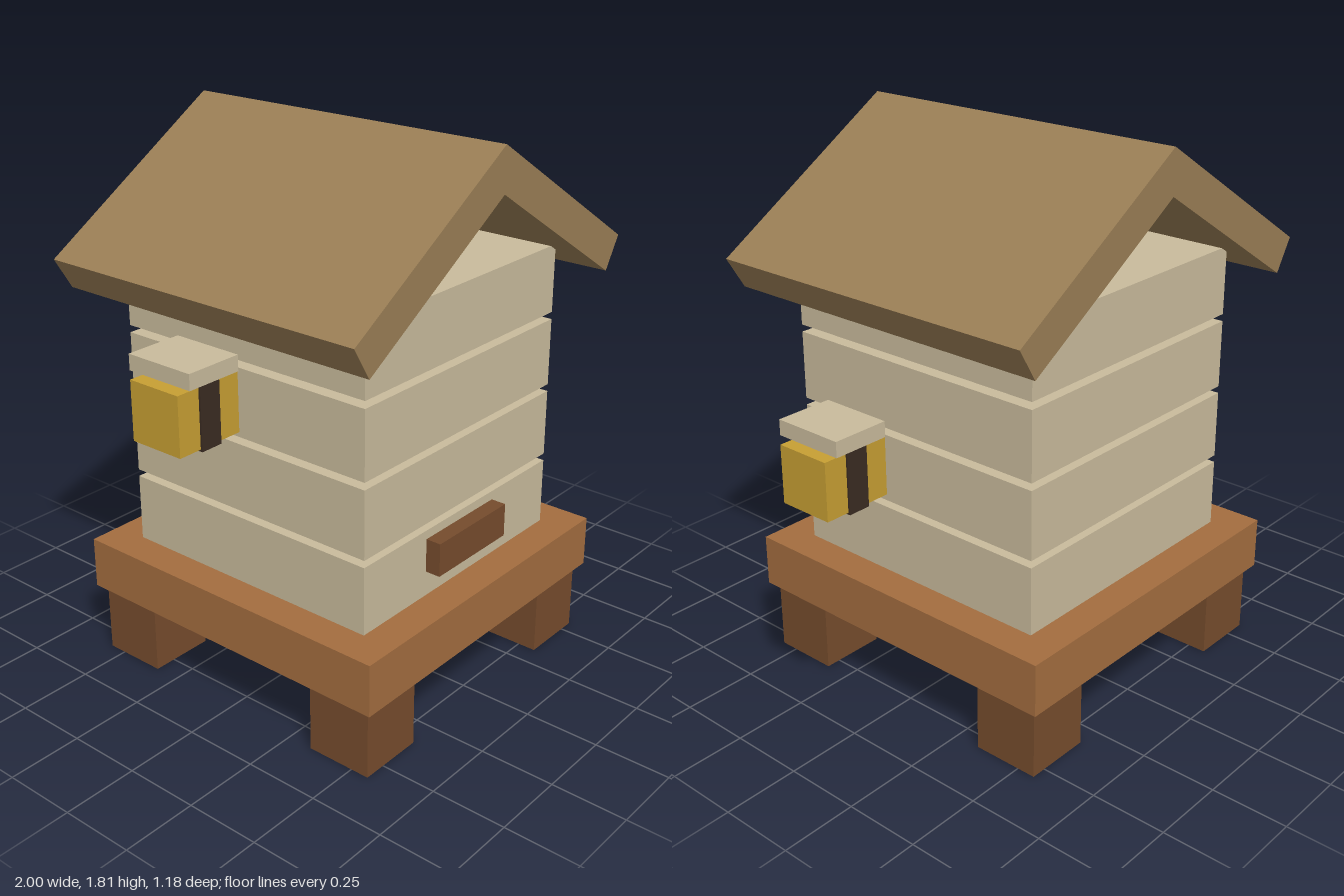
import * as THREE from 'three';

const mat = (name, color) => {
  const m = new THREE.MeshStandardMaterial({ color });
  m.name = name;
  return m;
};

export function createModel() {
  const cream = mat('cream', 0xc9bb9c);
  const wood = mat('wood', 0xa36d3f);
  const darkWood = mat('dark wood', 0x764c2d);
  const roofBrown = mat('roof brown', 0x9a7e55);
  const honey = mat('honey yellow', 0xc79f33);
  const stripeBrown = mat('stripe brown', 0x3a2b22);

  const model = new THREE.Group();
  model.name = 'beehive';

  const box = (parent, name, material, size, pos) => {
    const mesh = new THREE.Mesh(new THREE.BoxGeometry(...size), material);
    mesh.position.set(...pos);
    mesh.name = name;
    parent.add(mesh);
    return mesh;
  };

  // The hive sits slightly off the middle because the bees set the width
  const hive = new THREE.Group();
  hive.name = 'hive';
  hive.position.x = -0.0125;
  model.add(hive);

  // Stand: four legs and a platform
  for (const x of [-1, 1]) {
    for (const z of [-1, 1]) {
      box(hive, 'leg', darkWood, [0.224, 0.24, 0.224], [x * 0.45, 0.12, z * 0.45]);
    }
  }
  box(hive, 'platform', wood, [1.176, 0.174, 1.176], [0, 0.327, 0]);

  // Stacked hive boxes with narrow gaps
  for (let i = 0; i < 4; i++) {
    box(hive, 'hiveBox', cream, [0.947, 0.226, 0.947], [0, 0.527 + i * 0.25, 0]);
  }
  box(hive, 'entrance', darkWood, [0.347, 0.112, 0.06], [0, 0.554, 0.495]);

  // Gabled roof of two sloping slabs meeting at the ridge
  const profile = new THREE.Shape([
    [0, 1.81], [-0.66, 1.4], [-0.597, 1.296], [0, 1.667], [0.597, 1.296], [0.66, 1.4],
  ].map(([x, y]) => new THREE.Vector2(x, y)));
  const roofGeometry = new THREE.ExtrudeGeometry(profile, { depth: 1.176, bevelEnabled: false });
  roofGeometry.translate(0, 0, -0.588);
  const roof = new THREE.Mesh(roofGeometry, roofBrown);
  roof.name = 'roof';
  hive.add(roof);

  // Bees: body, wrapped stripe and wings hovering just above
  const addBee = (name, x, y, z) => {
    const bee = new THREE.Group();
    bee.name = name;
    bee.position.set(x, y, z);
    box(bee, 'beeBody', honey, [0.221, 0.176, 0.176], [0, 0, 0]);
    box(bee, 'beeStripe', stripeBrown, [0.071, 0.188, 0.188], [0, 0, 0]);
    box(bee, 'beeWings', cream, [0.178, 0.047, 0.224], [0, 0.125, 0]);
    model.add(bee);
  };
  addBee('rightBee', -0.889, 1.203, 0.187);
  addBee('leftBee', 0.887, 1.003, -0.126);

  return model;
}
